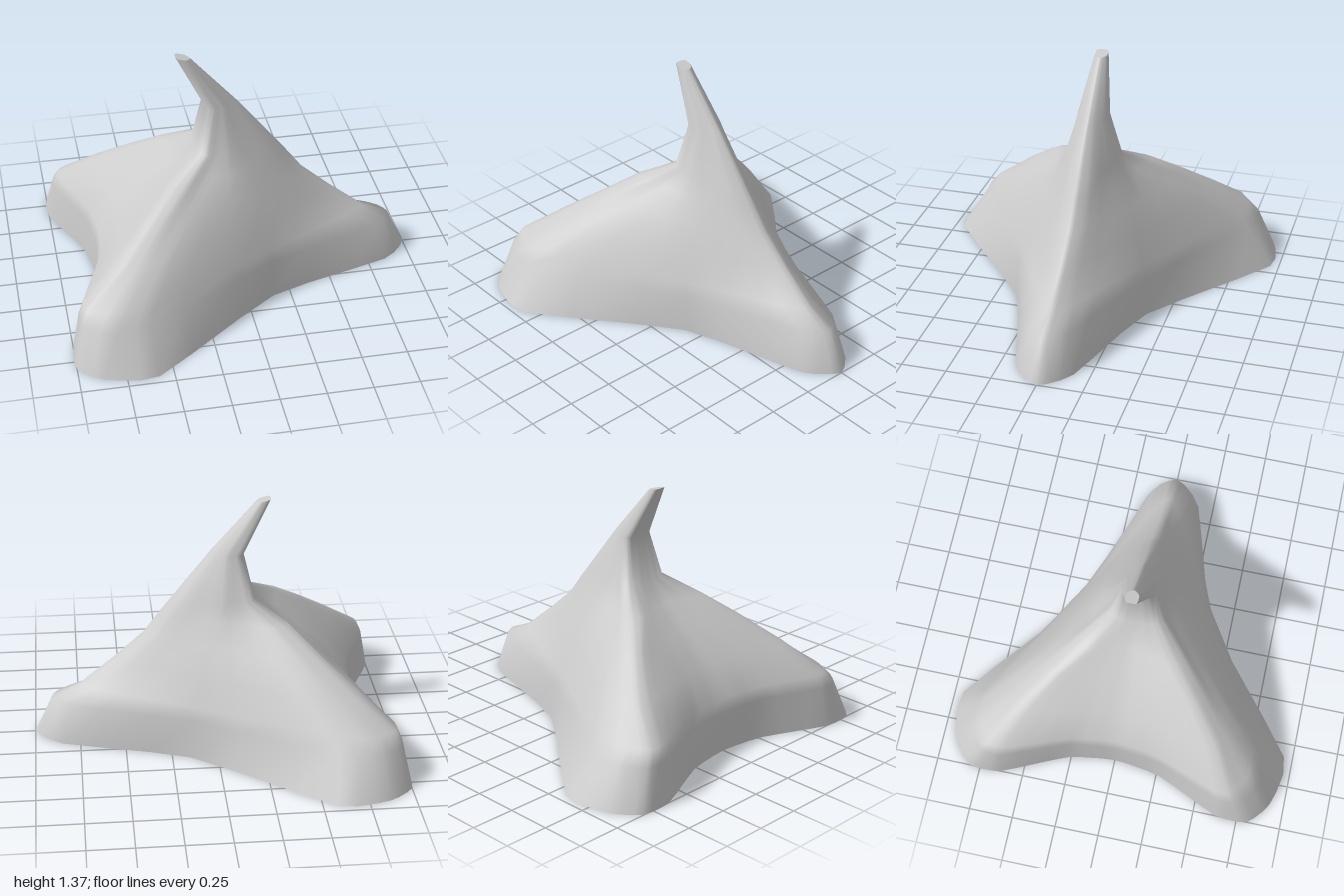
import * as THREE from 'three';

// Half contours [x, z], running from the long spur (+x) round the side lobe to the back gully.
const foot = [[1, 0], [0.85, 0.16], [0.15, 0.38], [-0.58, 0.95], [-0.87, 0.92], [-1, 0.81], [-1, 0.63], [-0.84, 0.27], [-0.8, 0]];
const shoulder = [[0.9, 0], [0.8, 0.12], [0.14, 0.37], [-0.6, 0.8], [-0.83, 0.83], [-0.95, 0.74], [-0.96, 0.62], [-0.82, 0.26], [-0.79, 0]];
const lowerSlope = [[0.75, 0], [0.62, 0.1], [0.12, 0.35], [-0.56, 0.73], [-0.78, 0.77], [-0.92, 0.7], [-0.93, 0.6], [-0.8, 0.24], [-0.77, 0]];
const middleSlope = [[0.55, 0], [0.45, 0.09], [0.07, 0.31], [-0.44, 0.56], [-0.6, 0.585], [-0.71, 0.57], [-0.74, 0.5], [-0.68, 0.2], [-0.65, 0]];
const upperSlope = [[0.38, 0], [0.3, 0.09], [0.02, 0.25], [-0.3, 0.38], [-0.45, 0.425], [-0.53, 0.41], [-0.55, 0.36], [-0.5, 0.15], [-0.48, 0]];
const saddle = [[0.29, 0], [0.22, 0.08], [-0.02, 0.2], [-0.2, 0.23], [-0.31, 0.28], [-0.38, 0.27], [-0.4, 0.22], [-0.37, 0.11], [-0.35, 0]];
const hornBase = [[0.21, 0], [0.15, 0.07], [-0.04, 0.15], [-0.13, 0.15], [-0.18, 0.15], [-0.21, 0.13], [-0.22, 0.1], [-0.23, 0.06], [-0.23, 0]];
const hornNeck = [[0.01, 0], [-0.01, 0.03], [-0.07, 0.075], [-0.1, 0.085], [-0.13, 0.09], [-0.15, 0.085], [-0.165, 0.07], [-0.17, 0.03], [-0.17, 0]];
const hornTip = [[-0.24, 0], [-0.245, 0.015], [-0.26, 0.03], [-0.27, 0.035], [-0.28, 0.035], [-0.3, 0.035], [-0.315, 0.03], [-0.32, 0.015], [-0.32, 0]];

const tipHeight = (x) => 1.35 - 0.25 * (x + 0.24);
const STEPS = 3; // samples between control points

// Mirror a half contour in z and round it gently into a closed loop.
function contour(half, height) {
  const mirrored = half.slice(1, -1).reverse().map(([x, z]) => [x, -z]);
  const points = [...half, ...mirrored].map(([x, z]) => new THREE.Vector3(x, 0, z));
  const curve = new THREE.CatmullRomCurve3(points, true, 'catmullrom', 0.25);
  const count = points.length * STEPS;
  return Array.from({ length: count }, (_, i) => {
    const p = curve.getPoint(i / count);
    p.y = typeof height === 'function' ? height(p.x) : height;
    return p;
  });
}

// Skin stacked loops with smooth normals.
function loft(loops) {
  const n = loops[0].length;
  const index = [];
  for (let r = 0; r < loops.length - 1; r++) {
    for (let i = 0; i < n; i++) {
      const a = r * n + i, b = r * n + (i + 1) % n;
      index.push(a, a + n, b, b, a + n, b + n);
    }
  }
  const geometry = new THREE.BufferGeometry().setFromPoints(loops.flat());
  geometry.setIndex(index);
  geometry.computeVertexNormals();
  return geometry;
}

// Flat cap filling a loop, facing up or down.
function cap(loop, up) {
  const shape = new THREE.Shape(loop.map((p) => new THREE.Vector2(p.x, up ? -p.z : p.z)));
  return new THREE.ShapeGeometry(shape).rotateX(up ? -Math.PI / 2 : Math.PI / 2);
}

export function createModel() {
  const group = new THREE.Group();
  group.name = 'mountain';
  const material = new THREE.MeshStandardMaterial({ color: 0xcccccc });
  const add = (name, geometry) => {
    const mesh = new THREE.Mesh(geometry, material);
    mesh.name = name;
    group.add(mesh);
  };

  const loops = [
    contour(foot, 0),
    contour(shoulder, 0.22),
    contour(lowerSlope, 0.29),
    contour(middleSlope, 0.45),
    contour(upperSlope, 0.6),
    contour(saddle, 0.72),
    contour(hornBase, 0.82),
    contour(hornNeck, 1.07),
    contour(hornTip, tipHeight),
  ];

  // Three-lobed slopes rising into the leaning horn
  add('slopes', loft(loops));

  // Flat underside
  add('underside', cap(loops[0], false));

  // Small sloping face on the tip of the horn
  const summit = cap(loops[loops.length - 1], true);
  const position = summit.attributes.position;
  for (let i = 0; i < position.count; i++) position.setY(i, tipHeight(position.getX(i)));
  summit.computeVertexNormals();
  add('summit', summit);

  return group;
}
